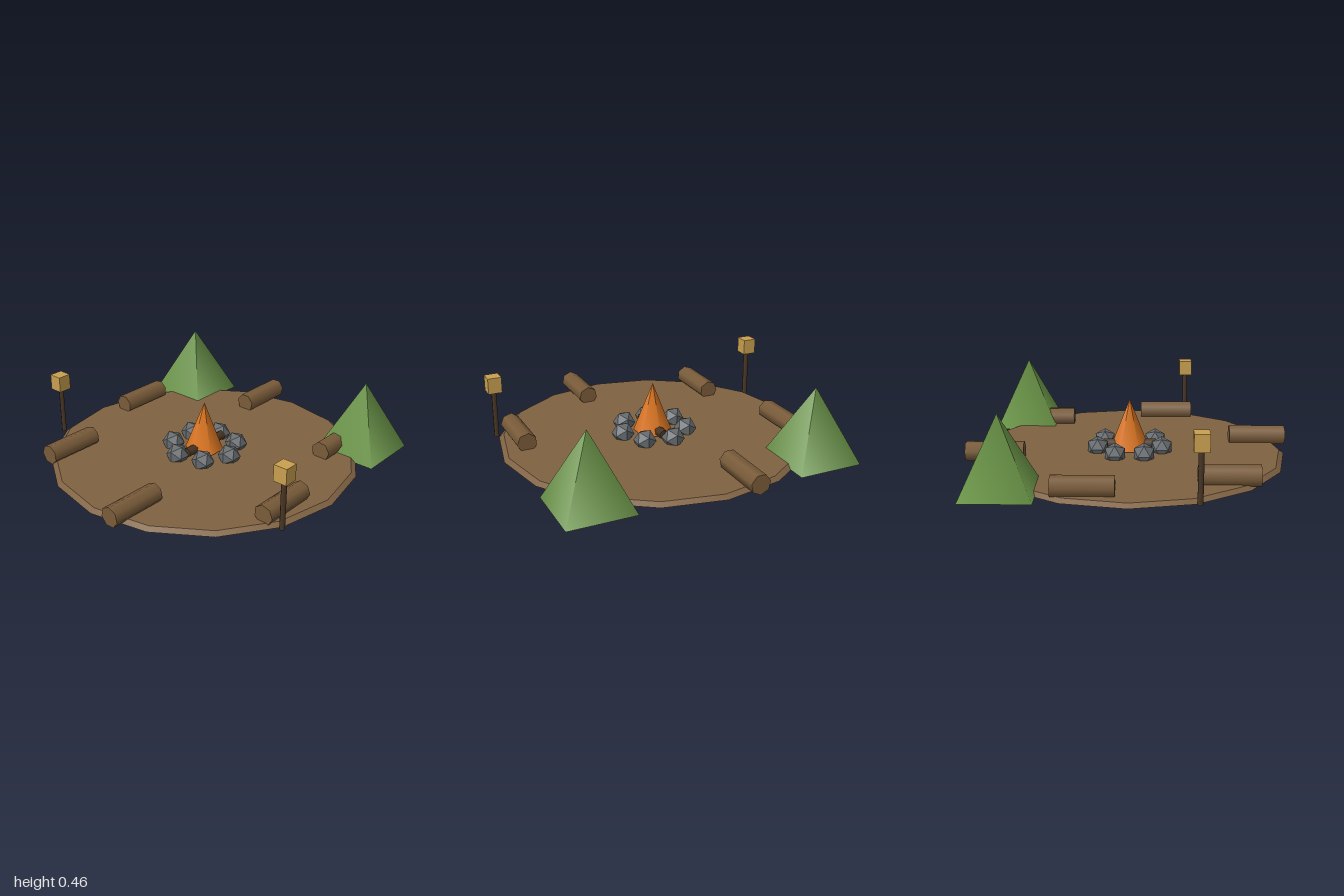
import * as THREE from 'three';

const paint = (name, color) => {
  const m = new THREE.MeshStandardMaterial({ color });
  m.name = name;
  return m;
};

export function createModel() {
  const group = new THREE.Group();
  group.name = 'campsite';
  const earth = paint('earth brown', 0x7f6242);
  const bark = paint('bark brown', 0x7a5c3a);
  const darkWood = paint('dark wood', 0x4a3726);
  const stoneGrey = paint('stone grey', 0x666b6e);
  const flameOrange = paint('flame orange', 0xdd7722);
  const canvasGreen = paint('canvas green', 0x6b9548);
  const lampYellow = paint('lamp yellow', 0xc9a050);

  const add = (name, geometry, material, x, y, z) => {
    const mesh = new THREE.Mesh(geometry, material);
    mesh.name = name;
    mesh.position.set(x, y, z);
    group.add(mesh);
    return mesh;
  };

  // Round clearing with a bevelled rim
  add('ground', new THREE.CylinderGeometry(0.94, 0.97, 0.022, 16), earth, 0, 0.025, 0);

  // Ring of stones around the fire
  const stone = new THREE.IcosahedronGeometry(0.072, 0);
  for (let i = 0; i < 7; i++) {
    const a = (i / 7) * Math.PI * 2;
    add('fireStone', stone, stoneGrey, Math.cos(a) * 0.205, 0.062, Math.sin(a) * 0.205);
  }

  // Flame over a piece of firewood
  add('flame', new THREE.ConeGeometry(0.122, 0.315, 6), flameOrange, 0, 0.205, 0);
  const firewood = new THREE.CylinderGeometry(0.031, 0.031, 0.33, 6);
  add('firewood', firewood, darkWood, 0, 0.075, 0).rotation.x = Math.PI / 2;

  // Six log seats, all lying along z and each turned about its own axis
  const log = new THREE.CylinderGeometry(0.063, 0.063, 0.356, 7);
  for (let i = 0; i < 6; i++) {
    const a = 0.3 + (i / 6) * Math.PI * 2;
    const seat = add('logSeat', log, bark, Math.cos(a) * 0.84, 0.078, Math.sin(a) * 0.84);
    seat.rotation.set(Math.PI / 2, -a, 0);
  }

  // Mirrored tents and lamp posts
  const tent = new THREE.ConeGeometry(0.29, 0.448, 4);
  const post = new THREE.CylinderGeometry(0.016, 0.016, 0.32, 6);
  const lamp = new THREE.BoxGeometry(0.086, 0.1, 0.086);
  for (const [side, s] of [['left', 1], ['right', -1]]) {
    add(side + 'Tent', tent, canvasGreen, s * 0.713, 0.239, -0.714).rotation.y = Math.PI / 4;
    add(side + 'LampPost', post, darkWood, s * 0.906, 0.175, 0.388);
    add(side + 'Lamp', lamp, lampYellow, s * 0.906, 0.37, 0.388);
  }
  return group;
}
